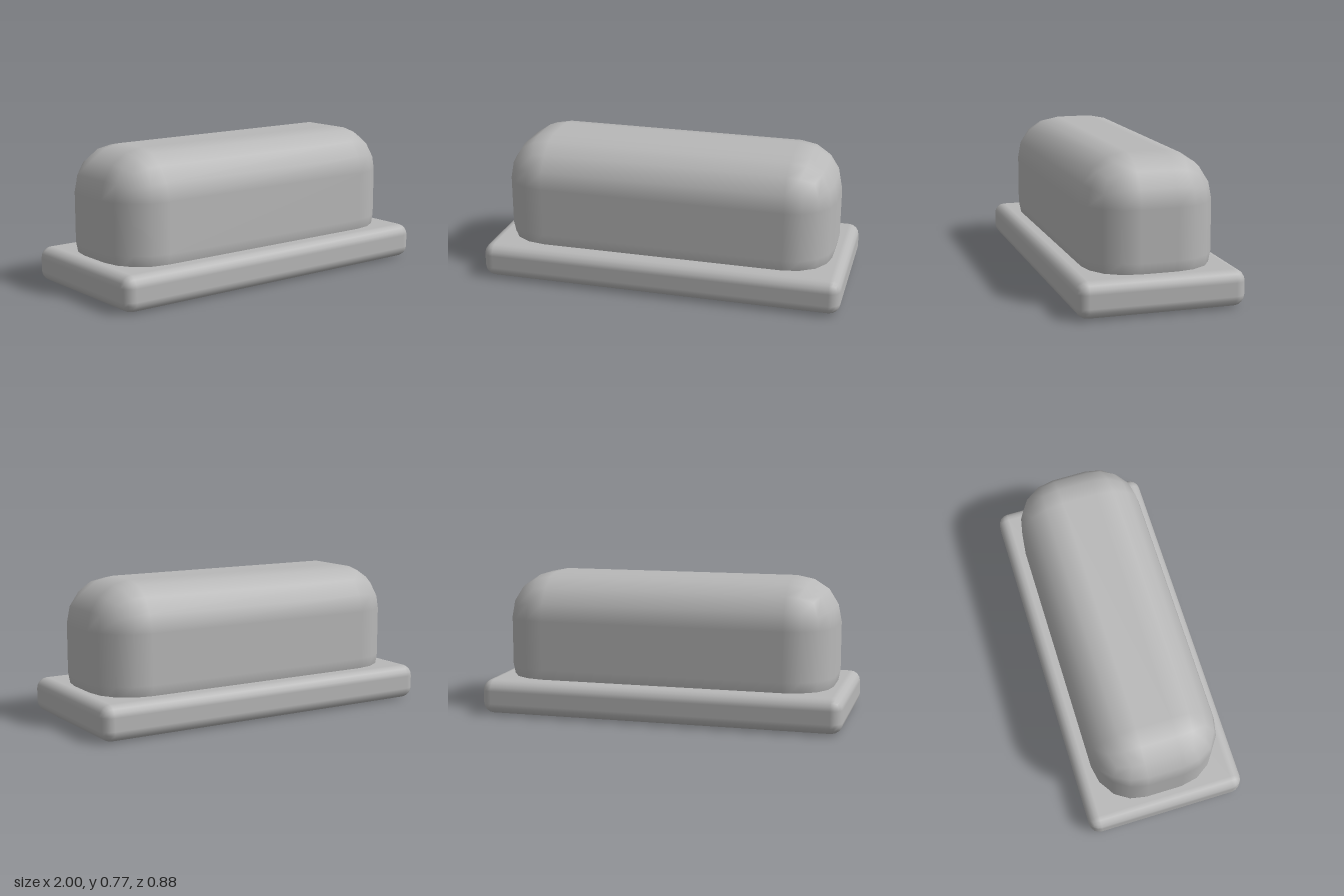
import * as THREE from 'three';

const grey = new THREE.MeshStandardMaterial({ color: 0xb8b8b8 });
grey.name = 'plain grey';

// Box with evenly stepped rounded edges: four facets per quarter turn, smooth normals
function softBox(w, h, d, r) {
  const steps = 2;
  const cells = steps * 2 + 1;
  const geo = new THREE.BoxGeometry(1, 1, 1, cells, cells, cells);
  const pos = geo.attributes.position;
  const nor = geo.attributes.normal;
  const core = new THREE.Vector3(w / 2 - r, h / 2 - r, d / 2 - r);
  const p = new THREE.Vector3();
  const n = new THREE.Vector3();
  // Cell index away from the flat centre, spread by equal angles
  const bend = (v) => {
    const k = Math.round(Math.abs(v) * cells - 0.5) / steps;
    return Math.sign(v) * Math.tan(k * Math.PI / 4);
  };
  for (let i = 0; i < pos.count; i++) {
    p.fromBufferAttribute(pos, i);
    n.set(bend(p.x), bend(p.y), bend(p.z)).normalize();
    p.set(Math.sign(p.x), Math.sign(p.y), Math.sign(p.z)).multiply(core).addScaledVector(n, r);
    pos.setXYZ(i, p.x, p.y, p.z);
    nor.setXYZ(i, n.x, n.y, n.z);
  }
  geo.clearGroups();
  return geo;
}

export function createModel() {
  const model = new THREE.Group();
  model.name = 'coveredDish';

  const add = (name, w, h, d, r, bottom) => {
    const mesh = new THREE.Mesh(softBox(w, h, d, r), grey);
    mesh.name = name;
    mesh.position.y = bottom + h / 2;
    model.add(mesh);
  };

  // Flat tray
  add('tray', 2, 0.19, 0.884, 0.06, 0.003);
  // Tall rounded cover, sunk through the tray
  add('cover', 1.844, 0.77, 0.694, 0.25, 0);

  return model;
}
